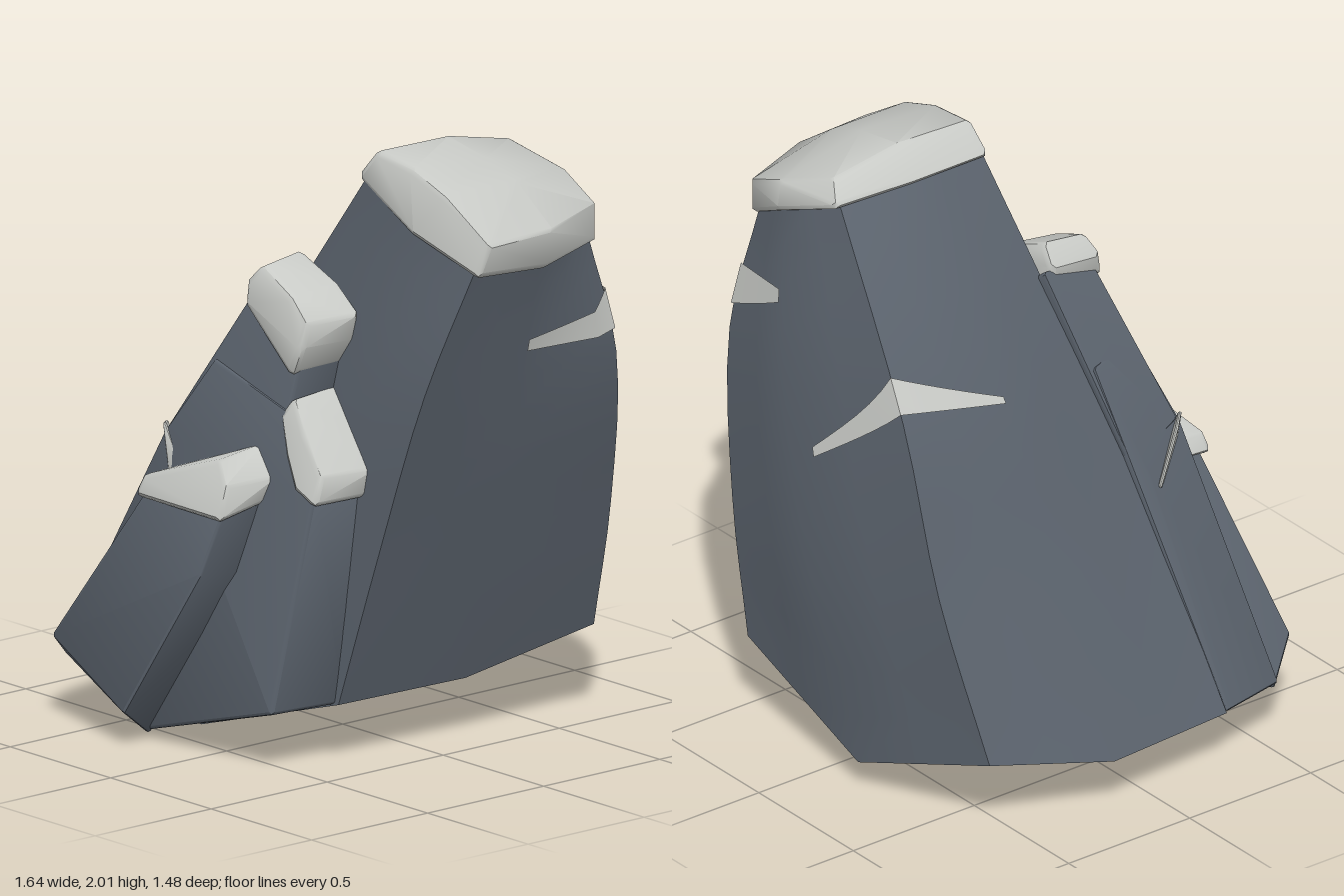
import * as THREE from 'three';
import { toCreasedNormals } from 'three/addons/utils/BufferGeometryUtils.js';
import { ConvexGeometry } from 'three/addons/geometries/ConvexGeometry.js';

const V = (p) => new THREE.Vector3(...p);
const rock = new THREE.MeshStandardMaterial({ color: 0x5a626c });
rock.name = 'slate rock';
const snow = new THREE.MeshStandardMaterial({ color: 0xc8cac6, side: THREE.DoubleSide });
snow.name = 'pale snow';

// Eight edges of the leaning rock, each from foot to top, starting at the front left
const edges = [
  [[-0.8, 0.2, 0.31], [-0.5, 0.72, 0.27], [-0.16, 1.3, 0.19], [0.23, 1.91, 0.1]],
  [[-0.3, 0, 0.35], [0.02, 0.62, 0.3], [0.25, 1.3, 0.21], [0.48, 1.82, 0.11]],
  [[0.36, 0.2, 0.33], [0.49, 0.72, 0.27], [0.64, 1.28, 0.2], [0.755, 1.71, 0.08]],
  [[0.38, 0.2, -0.2], [0.52, 0.72, -0.2], [0.66, 1.28, -0.2], [0.755, 1.7, -0.2]],
  [[0.43, 0.3, -0.71], [0.55, 0.75, -0.68], [0.68, 1.3, -0.59], [0.66, 1.72, -0.48]],
  [[-0.18, 0.1, -0.73], [0.07, 0.7, -0.735], [0.32, 1.3, -0.65], [0.49, 1.82, -0.5]],
  [[-0.71, 0.27, -0.6], [-0.48, 0.8, -0.63], [-0.24, 1.33, -0.59], [0.27, 1.9, -0.46]],
  [[-0.82, 0.19, -0.17], [-0.54, 0.75, -0.18], [-0.25, 1.28, -0.18], [0.22, 1.92, -0.2]],
].map((e) => new THREE.CatmullRomCurve3(e.map(V)));

// Point on the rock: k runs around the edges, t from foot to top
function surface(k, t) {
  const i = Math.floor(k);
  return edges[i % 8].getPoint(t).lerp(edges[(i + 1) % 8].getPoint(t), k - i);
}

// Same, but at a given height and lifted slightly outwards
function surfaceAt(k, y, lift) {
  let lo = 0, hi = 1;
  for (let n = 0; n < 24; n++) {
    const mid = (lo + hi) / 2;
    if (surface(k, mid).y < y) lo = mid; else hi = mid;
  }
  const p = surface(k, lo);
  const middle = surface(1, lo).lerp(surface(5, lo), 0.5);
  const out = p.clone().sub(middle).setY(0).normalize();
  return p.addScaledVector(out, lift);
}

function buildGeometry(points, index, crease) {
  const g = new THREE.BufferGeometry().setFromPoints(points);
  g.setIndex(index);
  return toCreasedNormals(g, crease);
}

function bodyGeometry() {
  const split = 2, cols = 8 * split, rows = 12;
  const points = [], index = [];
  for (let r = 0; r <= rows; r++) {
    for (let c = 0; c < cols; c++) points.push(surface(c / split, r / rows));
  }
  const foot = points.push(V([-0.3, 0, -0.2])) - 1;
  const top = points.push(V([0.49, 1.83, -0.2])) - 1;
  for (let c = 0; c < cols; c++) {
    const d = (c + 1) % cols, last = rows * cols;
    for (let r = 0; r < rows; r++) {
      const a = r * cols;
      index.push(a + c, a + d, a + cols + d, a + c, a + cols + d, a + cols + c);
    }
    index.push(foot, d, c, top, last + c, last + d);
  }
  return buildGeometry(points, index, 0.4);
}

// Snow streak lying on the rock: stations are [k, lower y, upper y]
function streakGeometry(stations) {
  const points = [], index = [], steps = 6;
  for (let s = 0; s < stations.length - 1; s++) {
    for (let n = s ? 1 : 0; n <= steps; n++) {
      const [k, low, high] = stations[s].map((v, j) => THREE.MathUtils.lerp(v, stations[s + 1][j], n / steps));
      points.push(surfaceAt(k, low, 0.008), surfaceAt(k, high, 0.008));
    }
  }
  for (let i = 0; i + 3 < points.length; i += 2) index.push(i, i + 2, i + 3, i, i + 3, i + 1);
  return buildGeometry(points, index, 0.4);
}

// Convex block with edges rounded by radius r
function block(list, r) {
  const pts = list.map(V);
  const centre = pts.reduce((s, p) => s.add(p), new THREE.Vector3()).divideScalar(pts.length);
  const out = [];
  for (const p of pts) {
    const q = p.clone().addScaledVector(centre.clone().sub(p).normalize(), r);
    for (let x = -1; x <= 1; x++) for (let y = -1; y <= 1; y++) for (let z = -1; z <= 1; z++) {
      const d = new THREE.Vector3(x, y, z);
      if (d.lengthSq() === 1 || d.lengthSq() === 3) out.push(q.clone().addScaledVector(d.normalize(), r));
    }
  }
  return toCreasedNormals(new ConvexGeometry(out), 0.65);
}

export function createModel() {
  const model = new THREE.Group();
  model.name = 'snowyRock';
  const add = (name, geometry, material) => {
    const mesh = new THREE.Mesh(geometry, material);
    mesh.name = name;
    model.add(mesh);
  };

  add('mainRock', bodyGeometry(), rock);

  // Middle slab leaning on the front, in two blocks that meet at a neck
  add('middleSlabLower', block([
    [-0.79, 0.2, 0.32], [-0.74, 0.2, 0.56], [-0.3, 0.01, 0.33], [-0.29, 0.03, 0.59],
    [0.34, 0.2, 0.3], [0.31, 0.2, 0.57], [0.375, 0.92, 0.2], [0.36, 0.92, 0.43],
    [0.2, 1.17, 0.2], [0.2, 1.17, 0.4], [-0.31, 1.02, 0.49], [-0.41, 0.92, 0.29],
    [-0.14, 1.28, 0.42], [-0.22, 1.26, 0.22],
  ], 0.012), rock);
  add('middleSlabUpper', block([
    [-0.31, 1.02, 0.48], [-0.38, 0.96, 0.25], [0.18, 1.05, 0.42], [0.19, 1.05, 0.2],
    [0.21, 1.34, 0.36], [0.22, 1.34, 0.15], [-0.02, 1.53, 0.35], [-0.04, 1.56, 0.15],
  ], 0.012), rock);

  // Short front slab with a chamfered foot
  add('frontSlab', block([
    [-0.64, 0.29, 0.69], [-0.24, 0.12, 0.735], [0.06, 0.64, 0.66], [0.11, 0.86, 0.6],
    [-0.26, 0.86, 0.6], [-0.74, 0.19, 0.55], [-0.29, 0.02, 0.59], [0.09, 0.62, 0.42],
    [0.14, 0.87, 0.4], [-0.28, 0.86, 0.42],
  ], 0.01), rock);

  // Snow caps
  add('summitSnow', block([
    [0.205, 1.92, 0.1], [0.5, 1.79, 0.13], [0.79, 1.7, 0.1], [0.78, 1.675, -0.2],
    [0.69, 1.7, -0.49], [0.5, 1.8, -0.53], [0.25, 1.9, -0.49], [0.2, 1.92, -0.2],
    [0.27, 2, 0.09], [0.28, 2.005, -0.2], [0.3, 1.95, -0.46], [0.45, 1.98, 0.1],
    [0.48, 1.98, -0.2], [0.62, 1.92, 0.1], [0.64, 1.92, -0.2], [0.815, 1.79, 0.08],
    [0.805, 1.79, -0.2], [0.68, 1.8, -0.5], [0.5, 1.88, -0.52],
  ], 0.02), snow);
  add('upperLedgeSnow', block([
    [-0.045, 1.58, 0.18], [0, 1.63, 0.19], [0.18, 1.56, 0.18], [0.28, 1.47, 0.18],
    [0.26, 1.38, 0.18], [0.21, 1.3, 0.18], [-0.04, 1.51, 0.18],
    [-0.04, 1.56, 0.37], [0, 1.61, 0.35], [0.17, 1.54, 0.37], [0.25, 1.46, 0.37],
    [0.24, 1.38, 0.385], [0.2, 1.295, 0.385], [-0.035, 1.495, 0.385],
  ], 0.022), snow);
  add('sideLedgeSnow', block([
    [0.17, 1.17, 0.2], [0.2, 1.22, 0.2], [0.29, 1.12, 0.2], [0.405, 0.98, 0.2],
    [0.395, 0.9, 0.2], [0.3, 0.94, 0.2], [0.23, 1.04, 0.2],
    [0.175, 1.16, 0.41], [0.205, 1.21, 0.39], [0.28, 1.11, 0.42], [0.385, 0.98, 0.43],
    [0.38, 0.9, 0.45], [0.3, 0.935, 0.455], [0.23, 1.04, 0.44],
  ], 0.018), snow);
  add('frontLedgeSnow', block([
    [-0.28, 0.84, 0.64], [-0.26, 0.89, 0.63], [0.12, 0.83, 0.63], [0.12, 0.93, 0.6],
    [0.05, 1.0, 0.56], [0.17, 0.95, 0.43], [0.15, 0.88, 0.43], [0.1, 1.035, 0.43],
    [0.03, 1.01, 0.43], [-0.28, 0.85, 0.45], [-0.25, 0.9, 0.45],
  ], 0.018), snow);

  // Thin snow streaks on the edges
  add('slabEdgeSnow', block([
    [-0.44, 0.88, 0.315], [-0.37, 1.03, 0.44], [-0.31, 1.045, 0.5],
    [-0.23, 0.91, 0.5], [-0.27, 0.89, 0.51],
  ], 0.006), snow);
  add('backEdgeSnow', streakGeometry([[7, 1.28, 1.3], [6, 1.36, 1.46], [5.2, 1.09, 1.12]]), snow);
  add('sideEdgeSnow', streakGeometry([[3, 1.37, 1.41], [3.8, 1.36, 1.45], [4, 1.38, 1.52], [4.95, 1.51, 1.55]]), snow);

  return model;
}
